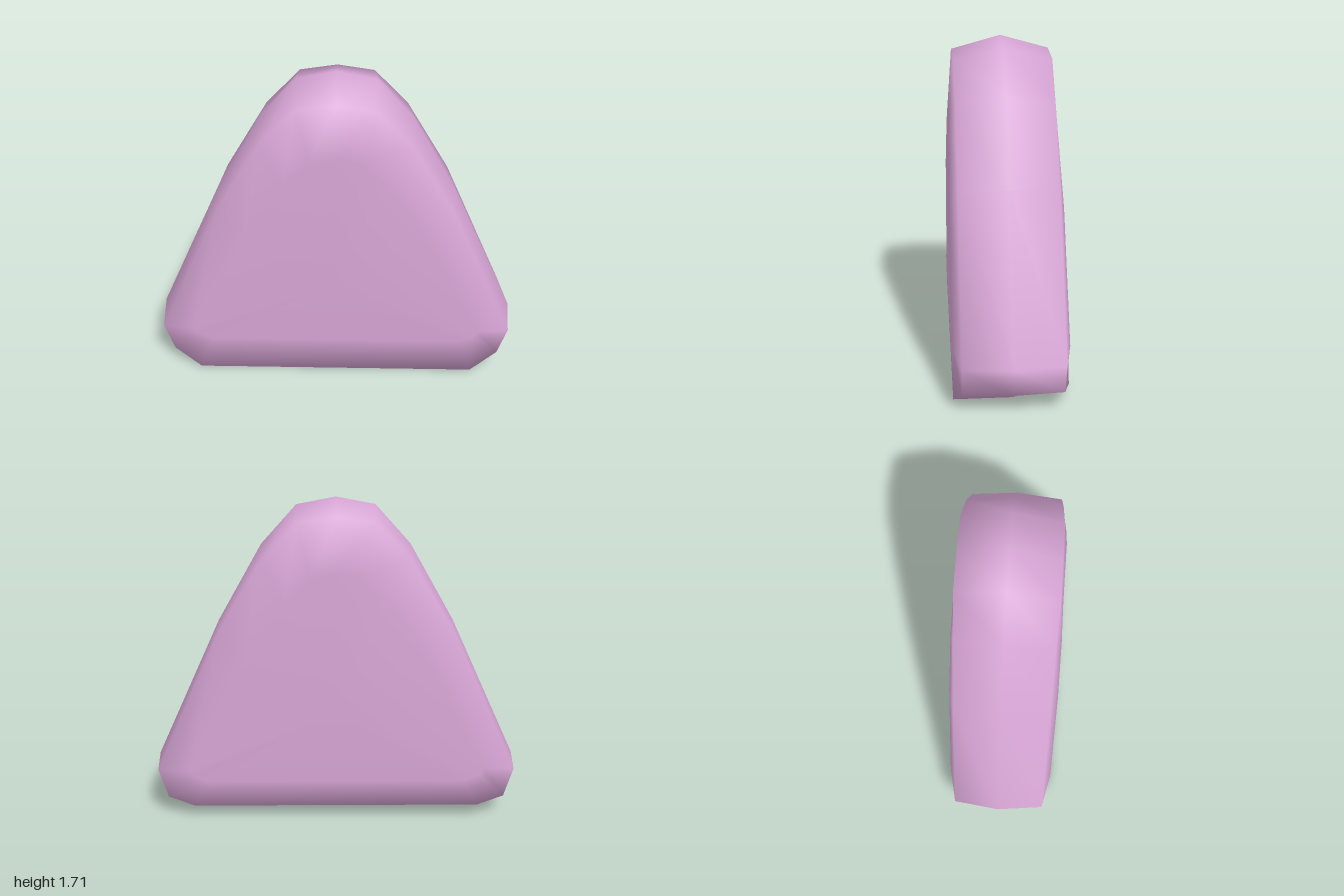
import * as THREE from 'three';

// Half outlines [x, y, z], from the top centre down to the bottom corner
const mid = [[0, 1.71, 0], [0.21, 1.67, 0], [0.4, 1.46, 0], [0.64, 1.04, 0], [1, 0.26, 0], [0.94, 0.1, 0], [0.77, 0, 0]];
const rim = [[0, 1.64, 0.255], [0.2, 1.61, 0.255], [0.385, 1.42, 0.25], [0.62, 1.03, 0.25], [0.97, 0.26, 0.25], [0.92, 0.1, 0.25], [0.77, 0, 0.29]];
const face = [[0, 1.35, 0.277], [0.13, 1.33, 0.277], [0.27, 1.2, 0.284], [0.48, 0.9, 0.29], [0.79, 0.28, 0.29], [0.77, 0.24, 0.29], [0.69, 0.21, 0.294]];

// Close a half outline by mirroring it, counter-clockwise seen from the front
function fullRing(half, side = 1, bottomY = 0) {
  const pts = half.map(([x, y, z]) => [x, Math.max(y, bottomY), z * side]);
  const left = pts.map(([x, y, z]) => [-x, y, z]);
  return [...left, ...pts.slice(1).reverse()];
}

function wedgeGeometry() {
  // The underside rises slightly towards the back
  const rings = [fullRing(face, -1), fullRing(rim, -1, 0.065), fullRing(mid), fullRing(rim), fullRing(face)];
  const n = rings[0].length;
  const vertices = rings.flat();
  const index = [];
  for (let k = 0; k < rings.length - 1; k++) {
    for (let i = 0; i < n; i++) {
      const j = (i + 1) % n;
      const a = k * n + i, b = k * n + j, c = b + n, d = a + n;
      index.push(a, b, c, a, c, d);
    }
  }
  // Gently domed front and back faces
  const back = vertices.push([0, 0.6, -0.3]) - 1;
  const front = vertices.push([0, 0.6, 0.3]) - 1;
  const last = (rings.length - 1) * n;
  for (let i = 0; i < n; i++) {
    const j = (i + 1) % n;
    index.push(back, j, i, front, last + i, last + j);
  }
  const geometry = new THREE.BufferGeometry();
  geometry.setAttribute('position', new THREE.Float32BufferAttribute(vertices.flat(), 3));
  geometry.setIndex(index);
  geometry.computeVertexNormals();
  return geometry;
}

export function createModel() {
  const group = new THREE.Group();
  group.name = 'roundedWedge';
  const lilac = new THREE.MeshStandardMaterial({ color: 0xd8a6d6 });
  lilac.name = 'lilac';
  const body = new THREE.Mesh(wedgeGeometry(), lilac);
  body.name = 'body';
  group.add(body);
  return group;
}
